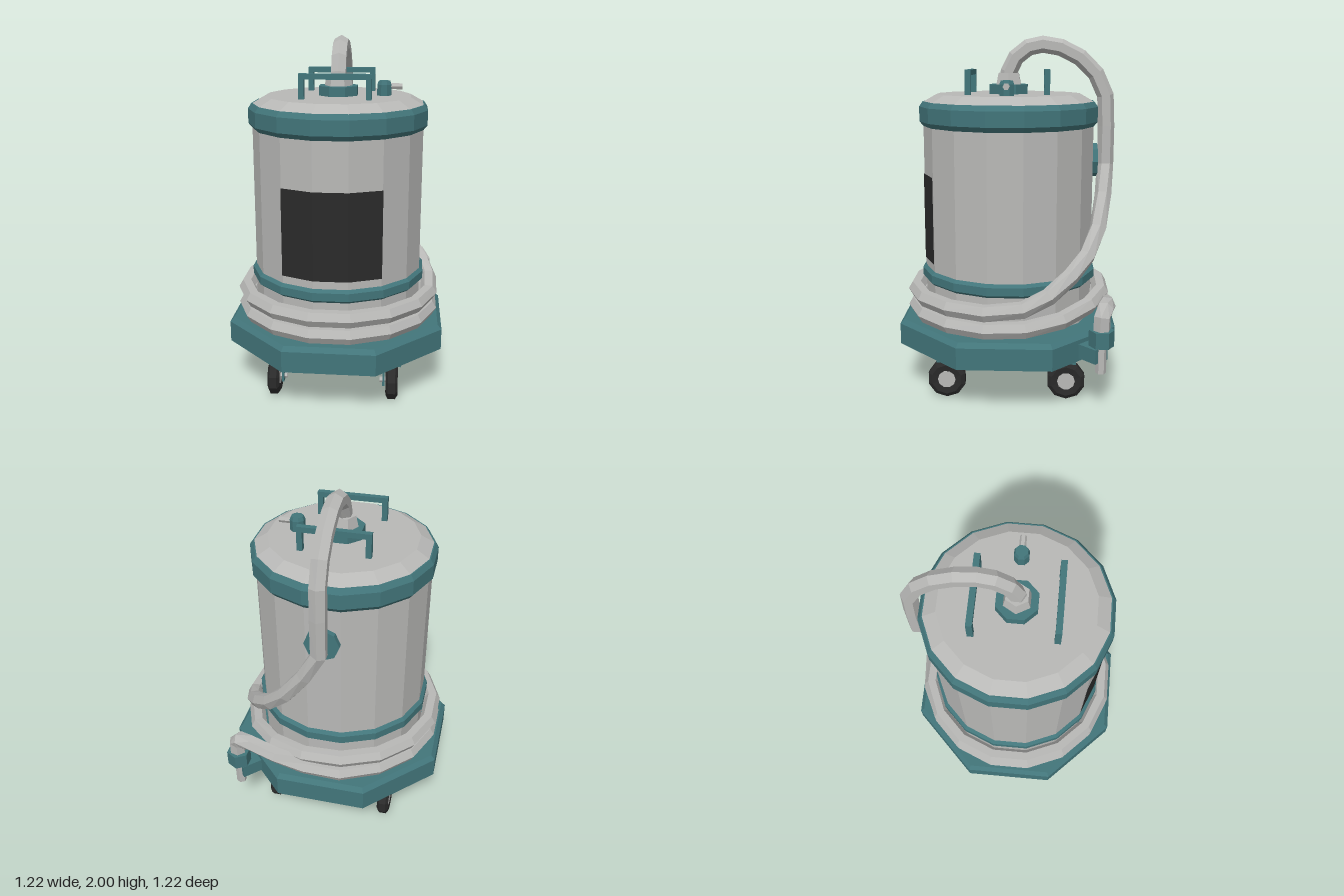
import * as THREE from 'three';

const mat = (name, color) => {
  const m = new THREE.MeshStandardMaterial({ color, flatShading: true });
  m.name = name;
  return m;
};

export function createModel() {
  const model = new THREE.Group();
  const teal = mat('teal paint', 0x42757a);
  const steel = mat('light grey steel', 0xb8b8b6);
  const black = mat('black rubber', 0x2a2a2a);

  const add = (name, geo, material, x = 0, y = 0, z = 0, parent = model) => {
    const m = new THREE.Mesh(geo, material);
    m.name = name;
    m.position.set(x, y, z);
    parent.add(m);
    return m;
  };
  const box = (w, h, d) => new THREE.BoxGeometry(w, h, d);
  const cyl = (rTop, rBottom, h, sides) => new THREE.CylinderGeometry(rTop, rBottom, h, sides);
  // Faceted turned part with a flat facing the front
  const lathe = (profile, sides) =>
    new THREE.LatheGeometry(profile.map(([r, y]) => new THREE.Vector2(r, y)), sides, Math.PI / sides);

  // Octagonal base with bevelled top
  add('base', lathe([[0, 0.27], [0.66, 0.27], [0.66, 0.39], [0.635, 0.415], [0, 0.415]], 8), teal);

  // Drum, lid and bands
  add('drum', lathe([[0.485, 0.41], [0.485, 1.55]], 16), steel);
  add('lid', lathe([[0.49, 1.635], [0.41, 1.68], [0, 1.68]], 16), steel);
  add('lidBand', lathe([[0.48, 1.497], [0.507, 1.53], [0.507, 1.612], [0.488, 1.64], [0.47, 1.64]], 16), teal);
  add('lowerBand', lathe([[0.48, 0.62], [0.505, 0.64], [0.505, 0.685], [0.48, 0.705]], 16), teal);

  // Dark panel wrapped over the three front facets
  const arc = Math.PI * 3 / 8;
  add('frontPanel', new THREE.CylinderGeometry(0.489, 0.489, 0.49, 3, 1, true, -arc / 2, arc), black, 0, 0.99, 0);

  // Carrying handles
  for (const z of [0.215, -0.215]) {
    const handle = new THREE.Group();
    handle.name = 'handle';
    model.add(handle);
    add('handleBar', box(0.39, 0.03, 0.032), teal, 0, 1.8, z, handle);
    for (const x of [-0.18, 0.18]) add('handlePost', box(0.03, 0.11, 0.032), teal, x, 1.735, z, handle);
  }

  // Hose fitting in the middle of the lid
  add('fittingFlange', cyl(0.115, 0.115, 0.055, 8), teal, 0, 1.705, 0).rotation.y = Math.PI / 8;
  add('fittingCollar', cyl(0.065, 0.08, 0.07, 6), steel, 0, 1.76, 0).rotation.y = Math.PI / 6;

  // Small valve
  add('valveBody', cyl(0.042, 0.042, 0.06, 8), teal, 0.255, 1.71, 0).rotation.y = Math.PI / 8;
  add('valveCap', cyl(0.034, 0.042, 0.02, 8), teal, 0.255, 1.75, 0).rotation.y = Math.PI / 8;
  add('valvePipe', cyl(0.018, 0.018, 0.09, 6), steel, 0.31, 1.73, 0).rotation.z = Math.PI / 2;

  // Hose clip at the back of the drum
  add('hoseClip', cyl(0.095, 0.095, 0.04, 8), teal, 0, 1.305, -0.485).rotation.x = Math.PI / 2;

  // Hose path: arch over the lid, spiral down, two coils, then the nozzle
  const path = [
    [0, 1.74, 0.01], [0, 1.8, 0], [0, 1.88, -0.04], [0, 1.935, -0.11], [0, 1.952, -0.19],
    [0, 1.935, -0.29], [0, 1.88, -0.4], [0, 1.79, -0.49], [0, 1.67, -0.545], [0, 1.5, -0.553], [0, 1.28, -0.553],
  ];
  const ring = (deg, y, r = 0.545) => {
    const a = deg * Math.PI / 180;
    path.push([r * Math.sin(a), y, -r * Math.cos(a)]);
  };
  [[9, 1.12], [22, 0.95], [36, 0.82], [50, 0.73], [65, 0.64], [80, 0.58]].forEach(([d, y]) => ring(d, y));
  for (let d = 101.25; d <= 350; d += 22.5) ring(d, 0.558);
  [[371.25, 0.55], [393.75, 0.53], [416.25, 0.495], [438.75, 0.47]].forEach(([d, y]) => ring(d, y));
  for (let d = 461.25; d <= 690; d += 22.5) ring(d, 0.462);
  path.push([-0.1, 0.465, -0.55], [0.1, 0.485, -0.562], [0.27, 0.53, -0.56],
    [0.42, 0.575, -0.545], [0.49, 0.575, -0.53], [0.515, 0.54, -0.515], [0.515, 0.45, -0.513]);
  add('hose', sweep(path, 0.047, 6), steel);

  // Nozzle holder on the back corner of the base
  const arm = add('nozzleArm', box(0.1, 0.08, 0.17), teal, 0.455, 0.327, -0.455);
  arm.rotation.y = -Math.PI / 4;
  add('nozzleClamp', cyl(0.068, 0.068, 0.088, 6), teal, 0.513, 0.425, -0.513);
  add('nozzlePipe', cyl(0.029, 0.029, 0.17, 6), steel, 0.513, 0.313, -0.513);

  // Four casters, each with a single inner fork plate
  for (const sx of [-1, 1]) for (const z of [-0.335, 0.335]) {
    const caster = new THREE.Group();
    caster.name = 'caster';
    caster.position.set(sx * 0.335, 0, z);
    model.add(caster);
    add('casterMount', box(0.085, 0.045, 0.085), teal, 0, 0.252, 0, caster);
    add('casterPlate', box(0.1, 0.018, 0.105), teal, 0, 0.222, 0, caster);
    add('casterFork', box(0.012, 0.155, 0.05), teal, -sx * 0.047, 0.152, 0, caster);
    const tyre = add('tyre', lathe([[0.045, -0.028], [0.085, -0.034], [0.108, -0.02],
      [0.108, 0.02], [0.085, 0.034], [0.045, 0.028]], 10), black, 0, 0.104, 0, caster);
    const hub = add('hub', cyl(0.05, 0.05, 0.06, 10), steel, 0, 0.104, 0, caster);
    const axle = add('axle', cyl(0.015, 0.015, 0.1, 6), steel, -sx * 0.02, 0.104, 0, caster);
    for (const part of [tyre, hub, axle]) part.rotation.z = Math.PI / 2;
  }
  return model;
}

// Polygonal tube along a list of points, with one corner kept facing outward
function sweep(points, radius, sides) {
  const pts = points.map((p) => new THREE.Vector3(...p));
  const pos = [], index = [];
  pts.forEach((p, i) => {
    const t = pts[Math.min(i + 1, pts.length - 1)].clone().sub(pts[Math.max(i - 1, 0)]).normalize();
    const centre = new THREE.Vector3(0, Math.min(p.y, 1.5), p.y > 1.5 ? -0.28 : 0);
    const n = p.clone().sub(centre);
    n.addScaledVector(t, -n.dot(t)).normalize();
    const b = t.clone().cross(n);
    for (let j = 0; j < sides; j++) {
      const a = (j / sides) * Math.PI * 2;
      const v = p.clone().addScaledVector(n, radius * Math.cos(a)).addScaledVector(b, radius * Math.sin(a));
      pos.push(v.x, v.y, v.z);
      if (i === 0) continue;
      const k = (j + 1) % sides, r0 = (i - 1) * sides, r1 = i * sides;
      index.push(r0 + j, r0 + k, r1 + j, r0 + k, r1 + k, r1 + j);
    }
  });
  const g = new THREE.BufferGeometry();
  g.setAttribute('position', new THREE.Float32BufferAttribute(pos, 3));
  g.setIndex(index);
  g.computeVertexNormals();
  return g;
}
